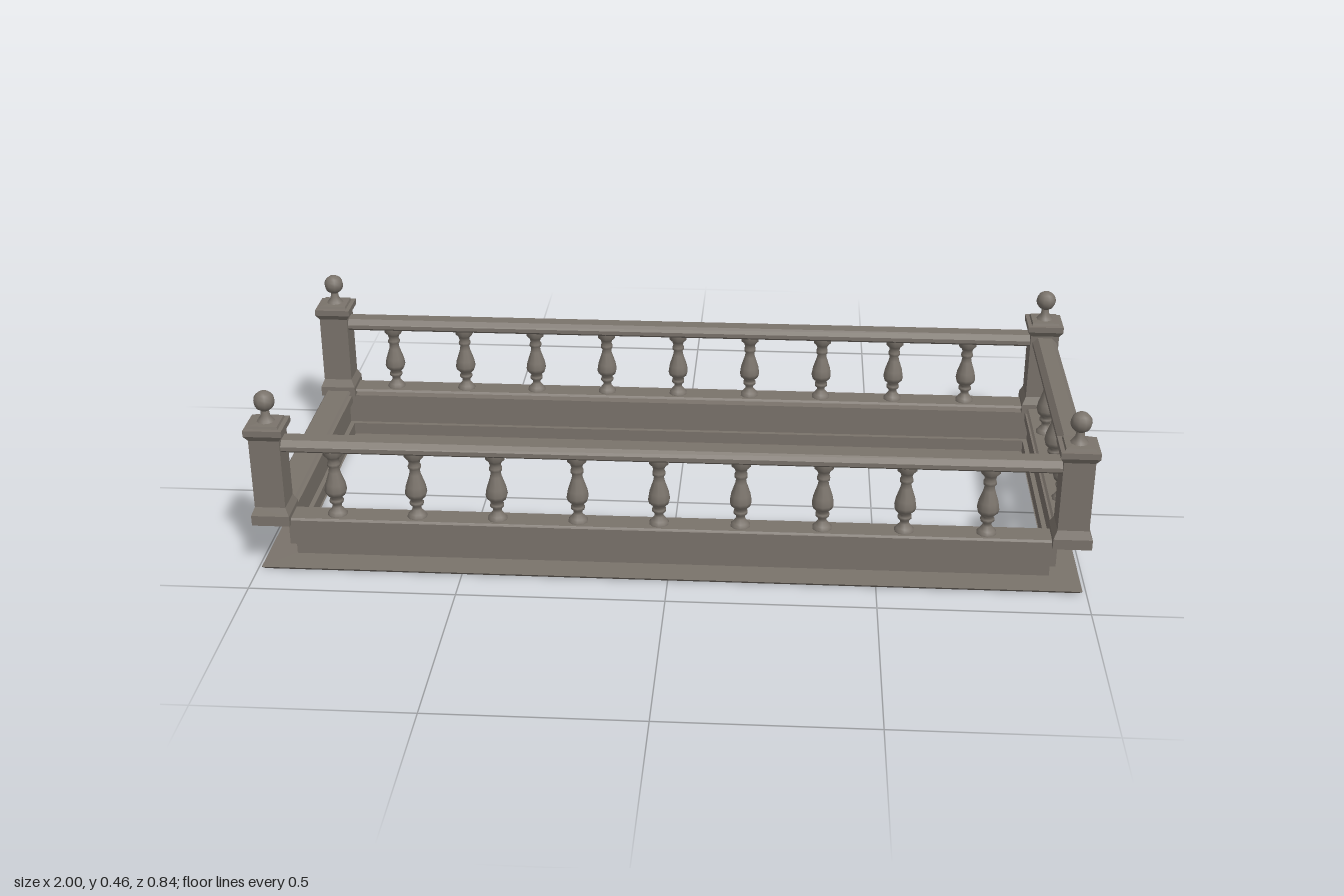
import * as THREE from 'three';

const stone = new THREE.MeshStandardMaterial({ color: 0x7a736b });
stone.name = 'weathered stone';
const stoneSheet = new THREE.MeshStandardMaterial({ color: 0x7a736b, side: THREE.DoubleSide });
stoneSheet.name = 'weathered stone sheet';

const DX = 0.58;             // how much longer the plan is in x than in z
const POST_Z = 0.374;
const POST_X = POST_Z + DX;

const toPoints = (list) => list.map(([a, b]) => new THREE.Vector2(a, b));

function part(name, geometry, material = stone) {
  const mesh = new THREE.Mesh(geometry, material);
  mesh.name = name;
  return mesh;
}

// Square moulding: a four-sided lathe with flat faces; profile is [half width, y]
function squareTurned(profile) {
  const pts = toPoints(profile.map(([w, y]) => [w * Math.SQRT2, y]));
  const geo = new THREE.LatheGeometry(pts, 4, Math.PI / 4).toNonIndexed();
  geo.computeVertexNormals();
  return geo;
}

// Moulding swept round the rectangular plan with mitred corners; profile is [z offset, y]
function mitredRing(profile) {
  const corners = [[1, 1], [1, -1], [-1, -1], [-1, 1]];
  const at = ([o, y], [sx, sz]) => [sx * (o + DX), y, sz * o];
  const pos = [];
  for (let i = 0; i < profile.length - 1; i++) {
    for (let c = 0; c < 4; c++) {
      const n = (c + 1) % 4;
      const a = at(profile[i], corners[c]), b = at(profile[i], corners[n]);
      const d = at(profile[i + 1], corners[c]), e = at(profile[i + 1], corners[n]);
      pos.push(...a, ...d, ...e, ...a, ...e, ...b);
    }
  }
  const geo = new THREE.BufferGeometry();
  geo.setAttribute('position', new THREE.Float32BufferAttribute(pos, 3));
  geo.computeVertexNormals();
  return geo;
}

// Handrail running along z, centred on the origin
function railGeometry(length) {
  const shape = new THREE.Shape(toPoints([
    [-0.022, 0.315], [0.022, 0.315], [0.031, 0.322], [0.031, 0.332],
    [0.018, 0.345], [-0.018, 0.345], [-0.031, 0.332], [-0.031, 0.322],
  ]));
  const geo = new THREE.ExtrudeGeometry(shape, { depth: length, bevelEnabled: false });
  return geo.translate(0, 0, -length / 2);
}

export function createModel() {
  const model = new THREE.Group();
  model.name = 'balustrade';

  // Plinth: ledge, recess, projecting band, recess and thin foot flange
  model.add(part('plinth', mitredRing([
    [0.34, 0.137], [0.345, 0.142], [0.403, 0.142], [0.407, 0.137], [0.407, 0.128],
    [0.338, 0.126], [0.338, 0.103], [0.35, 0.103], [0.35, 0.041], [0.338, 0.041],
    [0.338, 0.009], [0.41, 0.008], [0.402, 0], [0.338, 0],
  ]), stoneSheet));

  // Corner posts with ball finials
  const postGeo = squareTurned([
    [0, 0.127], [0.046, 0.127], [0.046, 0.153], [0.037, 0.173], [0.037, 0.35],
    [0.046, 0.364], [0.046, 0.379], [0.036, 0.38], [0.034, 0.386], [0, 0.388],
  ]);
  const neckGeo = new THREE.LatheGeometry(toPoints([
    [0.024, 0.384], [0.018, 0.392], [0.011, 0.402], [0.009, 0.418],
  ]), 10);
  const ballGeo = new THREE.SphereGeometry(0.0255, 10, 8).translate(0, 0.438, 0);
  for (const sx of [-1, 1]) {
    for (const sz of [-1, 1]) {
      const post = new THREE.Group();
      post.name = 'cornerPost';
      post.add(part('postShaft', postGeo), part('finialNeck', neckGeo), part('finialBall', ballGeo));
      post.position.set(sx * POST_X, 0, sz * POST_Z);
      model.add(post);
    }
  }

  // Handrails on the front, back and left; the remaining side is open
  const longRail = railGeometry(2 * POST_X - 0.06).rotateY(Math.PI / 2);
  for (const sz of [-1, 1]) {
    const rail = part('longRail', longRail);
    rail.position.z = sz * POST_Z;
    model.add(rail);
  }
  const shortRail = part('shortRail', railGeometry(2 * POST_Z - 0.06));
  shortRail.position.x = POST_X;
  model.add(shortRail);

  // Turned balusters
  const balusterGeo = new THREE.LatheGeometry(toPoints([
    [0.024, 0.14], [0.024, 0.146], [0.019, 0.152], [0.011, 0.162], [0.011, 0.17],
    [0.017, 0.176], [0.017, 0.182], [0.013, 0.187], [0.024, 0.198], [0.027, 0.208],
    [0.024, 0.226], [0.014, 0.256], [0.012, 0.268], [0.016, 0.273], [0.016, 0.279],
    [0.013, 0.285], [0.016, 0.295], [0.024, 0.303], [0.024, 0.317],
  ]), 10);
  const addBaluster = (x, z) => {
    const baluster = part('baluster', balusterGeo);
    baluster.position.set(x, 0, z);
    model.add(baluster);
  };
  for (let i = 0; i < 9; i++) {
    for (const sz of [-1, 1]) addBaluster(-0.8 + i * 0.1945, sz * POST_Z);
  }
  for (let i = -1; i <= 1; i++) addBaluster(POST_X, i * 0.187);

  return model;
}
